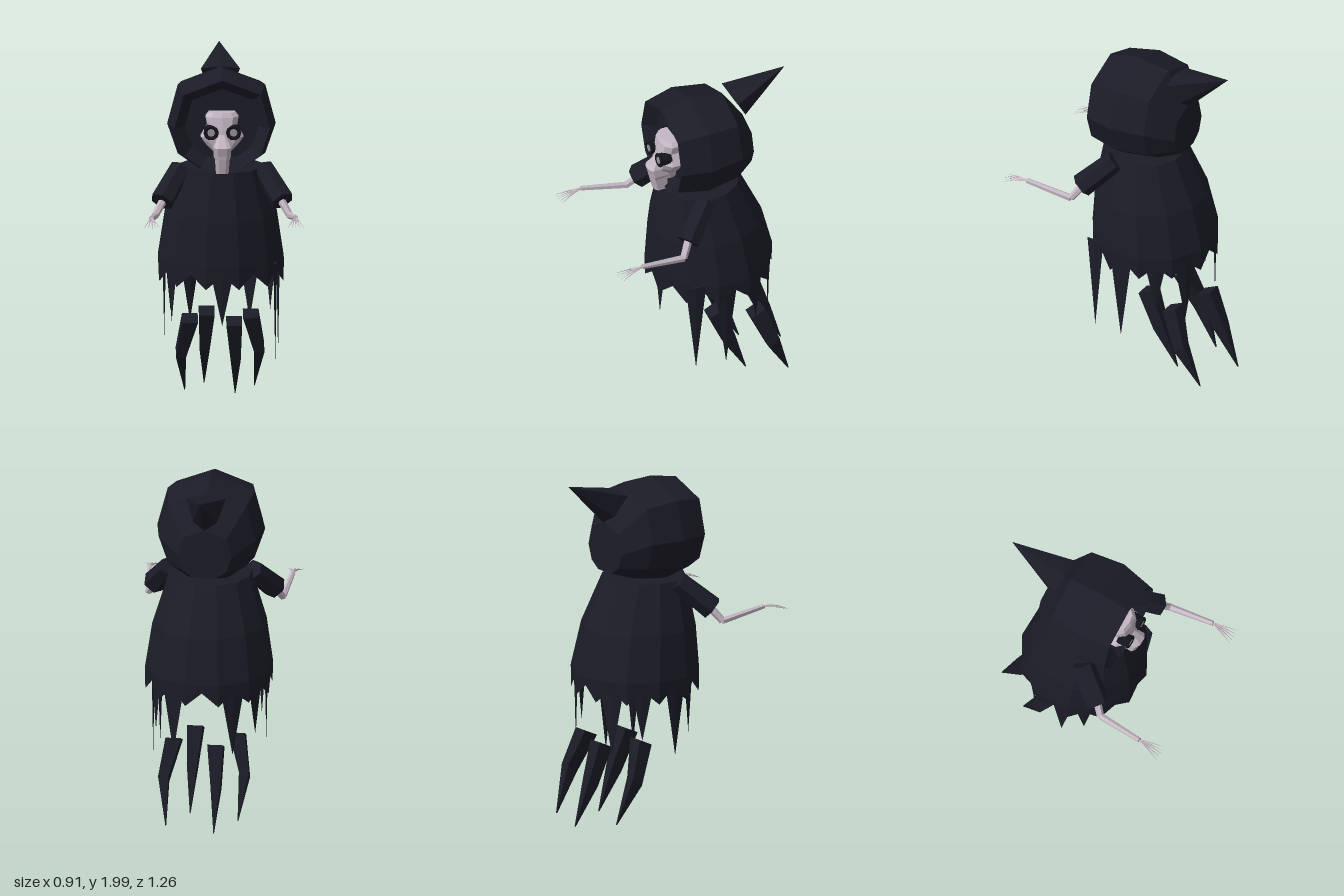
import * as THREE from 'three';

const mat = (name, color) => {
  const m = new THREE.MeshStandardMaterial({ color, flatShading: true, side: THREE.DoubleSide });
  m.name = name;
  return m;
};
const V = (x, y, z) => new THREE.Vector3(x, y, z);

// Skin a list of equal-length closed rings, with optional flat end caps.
function loft(rings, capStart = true, capEnd = true) {
  const pos = [];
  const tri = (...pts) => pts.forEach((p) => pos.push(p.x, p.y, p.z));
  const n = rings[0].length;
  for (let r = 0; r < rings.length - 1; r++) {
    for (let i = 0; i < n; i++) {
      const j = (i + 1) % n;
      const [a, b, c, d] = [rings[r][i], rings[r][j], rings[r + 1][j], rings[r + 1][i]];
      tri(a, c, b);
      tri(a, d, c);
    }
  }
  const cap = (ring, flip) => {
    const mid = ring.reduce((s, p) => s.add(p), V(0, 0, 0)).divideScalar(n);
    ring.forEach((p, i) => {
      const q = ring[(i + 1) % n];
      if (flip) tri(mid, q, p); else tri(mid, p, q);
    });
  };
  if (capStart) cap(rings[0], false);
  if (capEnd) cap(rings[rings.length - 1], true);
  const g = new THREE.BufferGeometry();
  g.setAttribute('position', new THREE.Float32BufferAttribute(pos, 3));
  g.computeVertexNormals();
  return g;
}

export function createModel() {
  const model = new THREE.Group();
  model.name = 'hoodedSpectre';
  const cloth = mat('dark cloth', 0x1c1c28);
  const bone = mat('pale bone', 0xc4b7c3);
  const black = mat('goggle black', 0x14141c);
  const lens = mat('lens grey', 0x9a949e);

  const add = (name, geo, material, parent = model) => {
    const m = new THREE.Mesh(geo, material);
    m.name = name;
    parent.add(m);
    return m;
  };
  // Tapered limb section between two points
  const limb = (name, a, b, ra, rb, sides, material, parent) => {
    const d = b.clone().sub(a);
    const m = add(name, new THREE.CylinderGeometry(rb, ra, d.length(), sides), material, parent);
    m.position.copy(a).add(b).multiplyScalar(0.5);
    m.quaternion.setFromUnitVectors(V(0, 1, 0), d.normalize());
    return m;
  };

  // Robe: twelve-sided bell with a jagged open hem
  const robeRing = (y, r, cz, drop = 0) => Array.from({ length: 24 }, (_, i) => {
    const a = (i * Math.PI) / 12 + Math.PI / 12;
    const corner = i % 2 === 0;
    const k = r * (corner ? 1 : Math.cos(Math.PI / 12));
    return V(Math.sin(a) * k, y - (corner ? drop : 0), cz + Math.cos(a) * k);
  });
  add('robe', loft([
    robeRing(1.39, 0.24, -0.07), robeRing(1.11, 0.33, -0.11),
    robeRing(0.85, 0.37, -0.135), robeRing(0.8, 0.367, -0.135, 0.08),
  ], true, false), cloth);

  // Hanging tatters: x, z, tip height, width, facing in degrees
  const tatters = [
    [0, 0.17, 0.5, 0.15, 0], [0.305, 0.085, 0.28, 0.12, 78], [0.325, -0.095, 0.28, 0.15, 90],
    [-0.325, -0.095, 0.39, 0.15, 90], [0.285, -0.3, 0.5, 0.14, 120], [-0.285, 0.03, 0.5, 0.12, -60],
    [-0.285, -0.3, 0.5, 0.14, -120], [0.17, -0.43, 0.41, 0.16, 150], [-0.17, -0.43, 0.41, 0.16, -150],
  ];
  for (const [x, z, tip, w, facing] of tatters) {
    const h = 0.85 - tip;
    const g = new THREE.ConeGeometry(0.5, h, 4);
    g.rotateX(Math.PI);
    g.scale(w, 1, 0.02);
    const m = add('tatter', g, cloth);
    m.position.set(x, tip + h / 2, z);
    m.rotation.y = THREE.MathUtils.degToRad(facing);
  }

  // Four trailing pointed legs: top x, knee x, tip x, tip z
  const legs = [
    [0.175, 0.225, 0.2, -0.545], [-0.075, -0.085, -0.085, -0.63],
    [-0.175, -0.225, -0.2, -0.42], [0.075, 0.085, 0.085, -0.33],
  ];
  for (const [xt, xk, xe, z] of legs) {
    const ring = (x, y, cz, w, d, tilt) => [[1, 1], [1, -1], [-1, -1], [-1, 1]]
      .map(([sx, sz]) => V(x + sx * w, y - sz * tilt, cz + sz * d));
    add('leg', loft([
      ring(xt, 0.465, z + 0.195, 0.045, 0.042, 0.02),
      ring(xk, 0.25, z + 0.11, 0.029, 0.031, 0.025),
      ring(xe, 0.005, z, 0.002, 0.003, 0),
    ]), cloth);
  }

  // Hood: rings scaled from one outline, folded inward at the opening
  const half = [[0.25, 1.87], [0.31, 1.645], [0.25, 1.47], [0.13, 1.385]];
  const outline = [[0, 1.965], ...half, [0, 1.38], ...half.map(([x, y]) => [-x, y]).reverse()];
  const hoodRing = (z, s, cy = 1.66) => outline.map(([x, y]) => V(x * s, cy + (y - 1.66) * s, z));
  add('hood', loft([
    hoodRing(0.09, 0.68), hoodRing(0.16, 0.88), hoodRing(-0.02, 1),
    hoodRing(-0.22, 0.9), hoodRing(-0.35, 0.5, 1.59),
  ]), cloth);

  // Swept-back hood point, wide along its upper edge
  const pointBase = [
    V(0, 1.925, -0.262), V(0.112, 1.91, -0.272), V(0.07, 1.79, -0.337),
    V(0, 1.745, -0.365), V(-0.07, 1.79, -0.337), V(-0.112, 1.91, -0.272),
  ];
  add('hoodPoint', loft([pointBase, pointBase.map((p) => p.clone().lerp(V(0, 2, -0.615), 0.995))]), cloth);

  // Mask: y, half width, front z, edge z
  const mask = [
    [1.74, 0.075, 0.155, 0.13], [1.715, 0.095, 0.168, 0.135], [1.665, 0.085, 0.178, 0.14],
    [1.6, 0.122, 0.188, 0.145], [1.565, 0.1, 0.185, 0.14], [1.51, 0.05, 0.18, 0.13],
    [1.46, 0.035, 0.17, 0.12],
  ];
  add('mask', loft(mask.map(([y, w, zf, ze]) => [
    V(-w, y, ze), V(-w * 0.65, y, zf), V(0, y, zf + 0.008), V(w * 0.65, y, zf), V(w, y, ze),
    V(w, y, 0.06), V(-w, y, 0.06),
  ])), bone);

  // Drooping beak: y, half width, front z
  const beak = [[1.62, 0.022, 0.195], [1.55, 0.05, 0.25], [1.5, 0.05, 0.235], [1.48, 0.042, 0.232], [1.395, 0.036, 0.212]];
  add('beak', loft(beak.map(([y, w, z]) => [
    V(-w, y, 0.14), V(-w, y, z - 0.015), V(-w * 0.5, y, z), V(w * 0.5, y, z),
    V(w, y, z - 0.015), V(w, y, 0.14),
  ])), bone);

  for (const s of [1, -1]) {
    // Goggles
    const eye = new THREE.Group();
    eye.name = s > 0 ? 'leftGoggle' : 'rightGoggle';
    eye.position.set(s * 0.064, 1.634, 0);
    model.add(eye);
    limb('goggleBody', V(0, 0, 0.14), V(0, 0, 0.203), 0.042, 0.036, 10, black, eye);
    const rim = add('goggleRim', new THREE.TorusGeometry(0.034, 0.01, 5, 10), black, eye);
    rim.position.z = 0.205;
    limb('lens', V(0, 0, 0.2), V(0, 0, 0.212), 0.023, 0.021, 8, lens, eye);

    // Sleeve, bony arm and clawed hand
    const arm = new THREE.Group();
    arm.name = s > 0 ? 'leftArm' : 'rightArm';
    model.add(arm);
    const elbow = V(s * 0.385, 1.15, 0.2);
    const wrist = V(s * 0.412, 1.195, 0.475);
    limb('sleeve', V(s * 0.235, 1.385, -0.005), V(s * 0.345, 1.225, 0.155), 0.062, 0.07, 6, cloth, arm);
    limb('upperArm', V(s * 0.33, 1.24, 0.14), elbow, 0.024, 0.021, 6, bone, arm);
    limb('forearm', elbow, wrist, 0.021, 0.015, 6, bone, arm);
    [0.365, 0.388, 0.41, 0.432, 0.456].forEach((x, i) => {
      const bend = V(s * (0.412 + (x - 0.412) * 0.45), 1.187, 0.54);
      limb('finger', wrist, bend, 0.006, 0.004, 4, bone, arm);
      limb('claw', bend, V(s * x, 1.165, 0.622 - Math.abs(i - 2) * 0.003), 0.004, 0.001, 4, bone, arm);
    });
  }
  return model;
}
